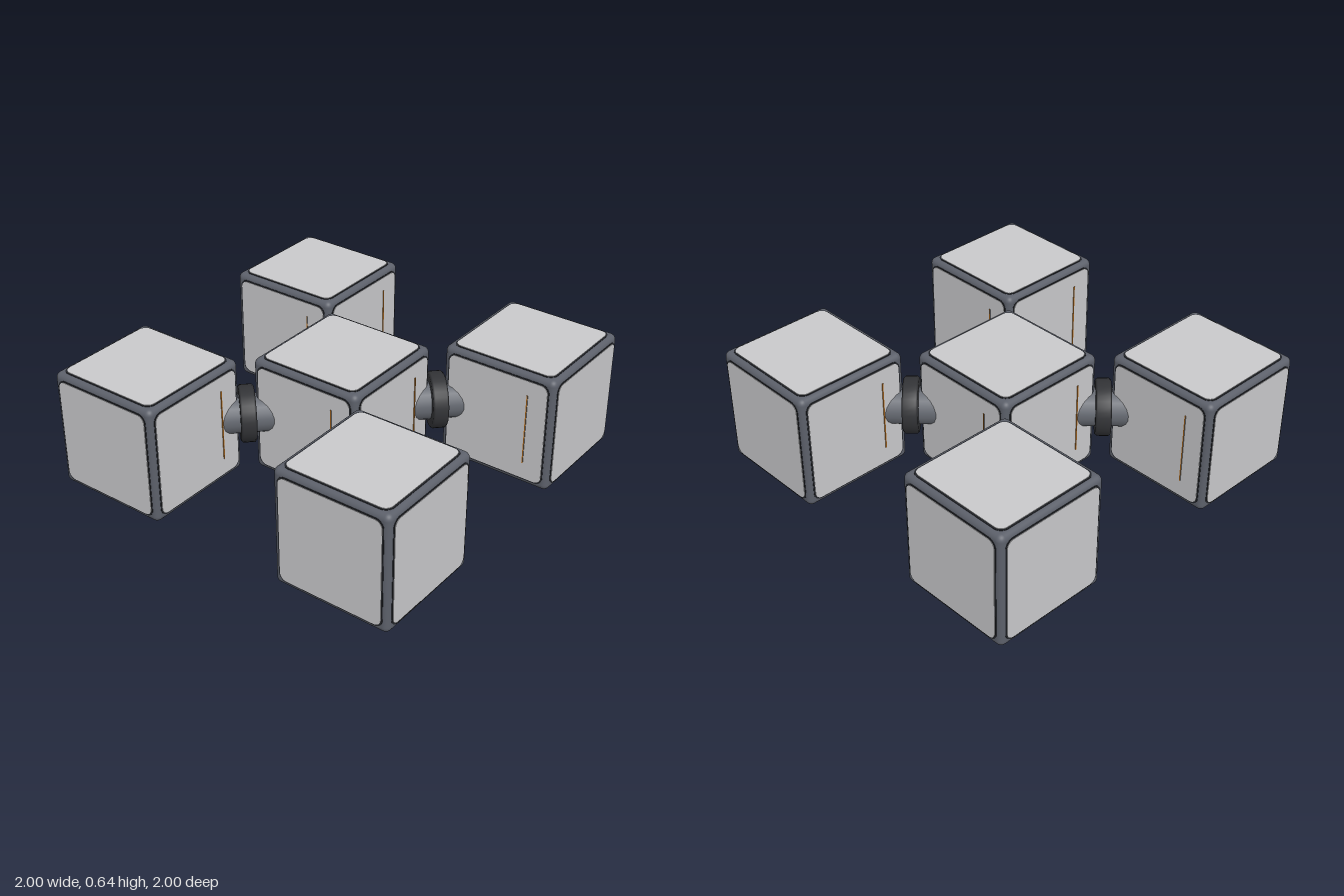
import * as THREE from 'three';
import { RoundedBoxGeometry } from 'three/addons/geometries/RoundedBoxGeometry.js';

const mat = (name, color, side = THREE.FrontSide) => {
  const m = new THREE.MeshStandardMaterial({ color, side });
  m.name = name;
  return m;
};

const SIZE = 0.632, HALF = SIZE / 2, OFFSET = 0.68, MID_Y = 0.32;

// Flat plate with rounded corners, facing +z
function plate(half, radius, depth) {
  const s = new THREE.Shape(), h = half, r = radius;
  s.moveTo(-h + r, -h);
  s.lineTo(h - r, -h);
  s.absarc(h - r, -h + r, r, -Math.PI / 2, 0);
  s.lineTo(h, h - r);
  s.absarc(h - r, h - r, r, 0, Math.PI / 2);
  s.lineTo(-h + r, h);
  s.absarc(-h + r, h - r, r, Math.PI / 2, Math.PI);
  s.lineTo(-h, -h + r);
  s.absarc(-h + r, -h + r, r, Math.PI, Math.PI * 1.5);
  return new THREE.ExtrudeGeometry(s, { depth, bevelEnabled: false, curveSegments: 6 });
}

export function createModel() {
  const frameMat = mat('slate frame', 0x5c606a);
  const panelMat = mat('light grey panel', 0xc9c9cb);
  const seamMat = mat('dark seam', 0x24262b);
  const ringMat = mat('charcoal ring', 0x323336);
  const axleMat = mat('steel axle', 0x666a72);
  const orangeMat = mat('orange strip', 0xb87020);

  const model = new THREE.Group();
  model.name = 'cubeCluster';
  const add = (parent, name, geometry, material) => {
    const m = new THREE.Mesh(geometry, material);
    m.name = name;
    parent.add(m);
    return m;
  };

  const frameGeo = new RoundedBoxGeometry(SIZE, SIZE, SIZE, 4, 0.032);
  const seamGeo = plate(0.288, 0.044, 0.002);
  const panelGeo = plate(0.28, 0.038, 0.004);
  const stripGeo = new THREE.BoxGeometry(0.006, 0.39, 0.008);
  // Inner flank and front are orange, outer flank is steel
  const stripMats = [axleMat, orangeMat, orangeMat, orangeMat, orangeMat, orangeMat];

  // Framed cube; stripSides lists the quarter turns of faces with a strip
  function cube(name, x, z, stripSides) {
    const g = new THREE.Group();
    g.name = name;
    g.position.set(x, MID_Y, z);
    add(g, 'frame', frameGeo, frameMat);
    for (let i = 0; i < 6; i++) {
      const face = new THREE.Group();
      face.name = 'face';
      if (i < 4) face.rotation.y = i * Math.PI / 2;
      else face.rotation.x = i === 4 ? -Math.PI / 2 : Math.PI / 2;
      add(face, 'seam', seamGeo, seamMat).position.z = HALF - 0.0005;
      add(face, 'panel', panelGeo, panelMat).position.z = HALF;
      if (stripSides.includes(i)) add(face, 'strip', stripGeo, stripMats).position.set(0.173, 0.005, HALF + 0.004);
      g.add(face);
    }
    model.add(g);
  }

  // Axle with a bevelled ring around its middle
  const axleGeo = new THREE.CylinderGeometry(0.099, 0.099, 0.42, 20);
  const ringProfile = [[0.09, -0.04], [0.137, -0.04], [0.147, -0.03], [0.147, 0.03], [0.137, 0.04], [0.09, 0.04]];
  const ringPoints = [];
  ringProfile.forEach(([r, y], i) => {
    // doubled points keep the ring edges crisp
    ringPoints.push(new THREE.Vector2(r, y));
    if (i > 0 && i < 5) ringPoints.push(new THREE.Vector2(r, y + (i < 3 ? 0.0005 : -0.0005)));
  });
  const ringGeo = new THREE.LatheGeometry(ringProfile.map(([r, y]) => new THREE.Vector2(r, y)), 32);

  cube('centreCube', 0, 0, [0, 1, 2, 3]);
  for (const sx of [-1, 1]) for (const sz of [-1, 1]) {
    const label = (sz > 0 ? 'front' : 'back') + (sx > 0 ? 'Left' : 'Right');
    cube(label + 'Cube', sx * OFFSET, sz * OFFSET, [sz > 0 ? 2 : 0, sx > 0 ? 3 : 1]);

    const joint = new THREE.Group();
    joint.name = label + 'Joint';
    joint.position.set(sx * 0.341, MID_Y + 0.003, sz * 0.341);
    joint.quaternion.setFromUnitVectors(new THREE.Vector3(0, 1, 0), new THREE.Vector3(sx, 0, sz).normalize());
    add(joint, 'axle', axleGeo, axleMat);
    add(joint, 'ring', ringGeo, ringMat);
    model.add(joint);
  }
  return model;
}
